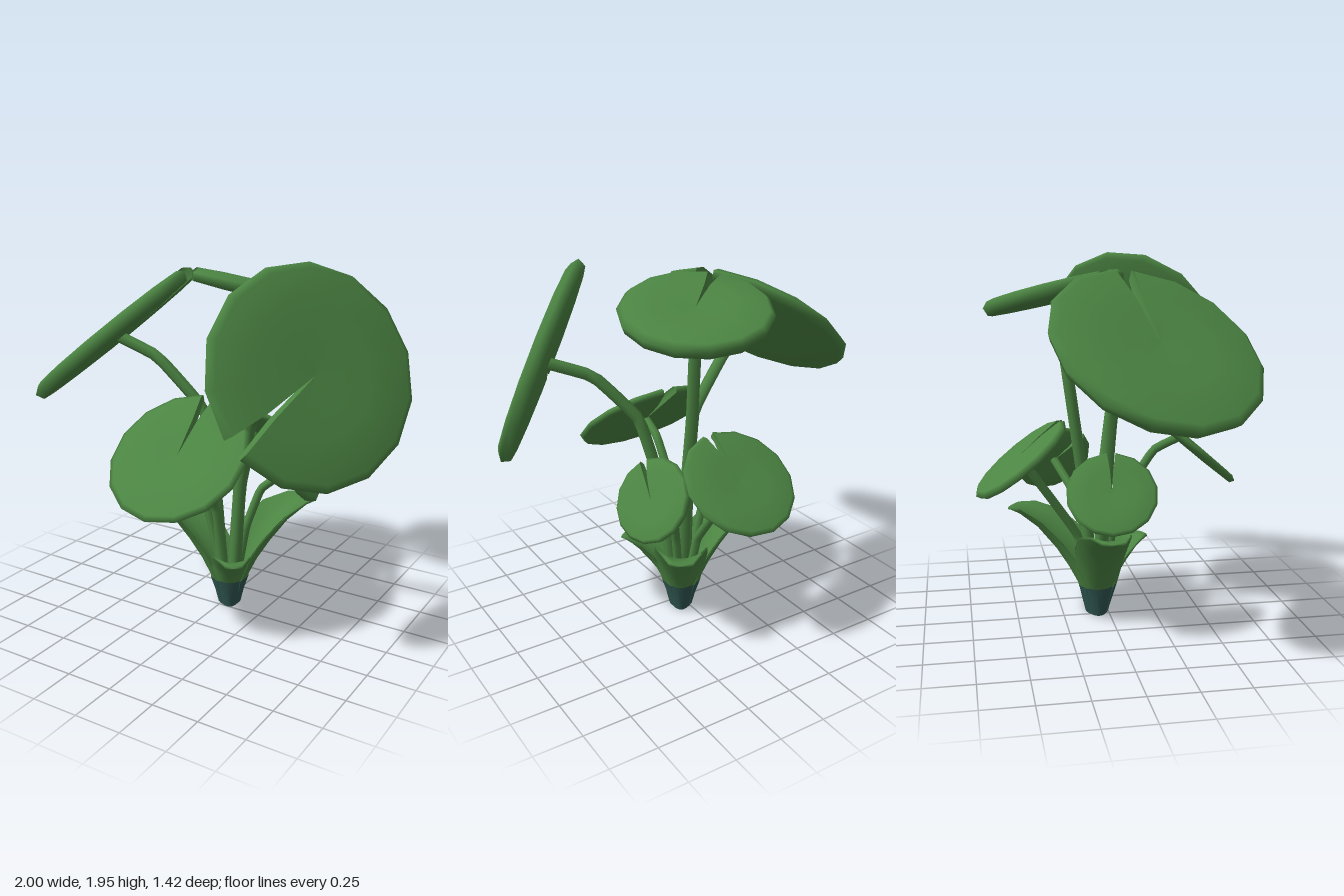
import * as THREE from 'three';

const V = (a) => new THREE.Vector3(...a);
const BASE = new THREE.Vector3(0.03, 0, -0.06);

function indexed(positions, index) {
  const g = new THREE.BufferGeometry();
  g.setAttribute('position', new THREE.Float32BufferAttribute(positions, 3));
  g.setIndex(index);
  g.computeVertexNormals();
  return g;
}

// Notched round pad: a rim profile swept about normal n; the notch faces the plant's axis, turned by twist
function padGeometry(center, n, R, h, twist) {
  const u = new THREE.Vector3(-center.x, 0, -center.z).projectOnPlane(n).normalize().applyAxisAngle(n, twist);
  const v = new THREE.Vector3().crossVectors(n, u);
  const profile = [[0, 0.75], [0.55, 1], [0.93, 0.85], [1, 0.2], [0.96, -0.8], [0.55, -1], [0, -0.85]];
  const sides = 14, K = profile.length;
  const pos = [], idx = [];
  const point = (f, [r, y]) => {
    const gap = 0.02 + 0.085 * r; // the slit flares towards the rim
    const a = gap + f * (2 * Math.PI - 2 * gap);
    const p = center.clone()
      .addScaledVector(u, Math.cos(a) * r * R)
      .addScaledVector(v, Math.sin(a) * r * R)
      .addScaledVector(n, y * h);
    pos.push(p.x, p.y, p.z);
  };
  for (let i = 0; i <= sides; i++) {
    for (const p of profile) point(i / sides, p);
  }
  for (let i = 0; i < sides; i++) {
    for (let k = 0; k < K - 1; k++) {
      const a = i * K + k, b = a + K;
      idx.push(a, a + 1, b, b, a + 1, b + 1);
    }
  }
  // notch walls
  for (const end of [0, 1]) {
    const o = pos.length / 3;
    for (const p of profile) point(end, p);
    for (let k = 1; k < K - 1; k++) {
      if (end) idx.push(o, o + k, o + k + 1);
      else idx.push(o, o + k + 1, o + k);
    }
  }
  return indexed(pos, idx);
}

// Trough-shaped leaf lofted from sections [outward, height, halfWidth, depth, thickness]
function leafGeometry(all, first, last, angle) {
  const o = new THREE.Vector3(Math.cos(angle), 0, Math.sin(angle));
  const up = new THREE.Vector3(0, 1, 0);
  const side = new THREE.Vector3().crossVectors(up, o);
  const ts = [-1, -0.6, -0.2, 0.2, 0.6, 1];
  const ring = [...ts.map((t) => [t, 0]), ...[...ts].reverse().map((t) => [t, 1])];
  const M = ring.length, pos = [], idx = [];
  for (let i = first; i <= last; i++) {
    const [s, y, w, d, th] = all[i];
    const p0 = all[Math.max(i - 1, 0)], p1 = all[Math.min(i + 1, all.length - 1)];
    const ds = p1[0] - p0[0], dy = p1[1] - p0[1], l = Math.hypot(ds, dy);
    const N = new THREE.Vector3().addScaledVector(o, -dy / l).addScaledVector(up, ds / l);
    if (i < 2) N.copy(o).negate(); // root sections stay level
    for (const [t, inner] of ring) {
      const p = BASE.clone().addScaledVector(o, s).addScaledVector(up, y)
        .addScaledVector(side, w * t)
        .addScaledVector(N, d * t * t + inner * th * (1 - 0.5 * t * t));
      pos.push(p.x, p.y, p.z);
    }
  }
  for (let i = 0; i < last - first; i++) {
    for (let j = 0; j < M; j++) {
      const a = i * M + j, b = i * M + (j + 1) % M;
      idx.push(a, b, a + M, a + M, b, b + M);
    }
  }
  return indexed(pos, idx);
}

export function createModel() {
  const group = new THREE.Group();
  const green = new THREE.MeshStandardMaterial({ color: 0x4c8543, side: THREE.DoubleSide });
  green.name = 'leaf green';
  const teal = new THREE.MeshStandardMaterial({ color: 0x2f5650, side: THREE.DoubleSide });
  teal.name = 'root teal';
  const add = (name, geometry, material) => {
    const m = new THREE.Mesh(geometry, material);
    m.name = name;
    group.add(m);
  };

  // A pad and its bent stem, which rises from the base through the given bends
  const addPad = (name, center, normal, R, bends, twist = 0) => {
    const c = V(center), n = V(normal).normalize();
    const large = bends.length > 2;
    const h = large ? 0.044 : 0.024;
    add(name + 'Pad', padGeometry(c, n, R, h, twist), green);
    const root = new THREE.Vector3(c.x * 0.05 + 0.03, 0.04, c.z * 0.05 - 0.065);
    const end = c.clone().addScaledVector(n, -h * 0.5);
    const curve = new THREE.CatmullRomCurve3([root, ...bends.map(V), end], false, 'catmullrom', 0.12);
    add(name + 'Stem', new THREE.TubeGeometry(curve, 24, large ? 0.032 : 0.024, 7), green);
  };
  addPad('rightLarge', [-0.565, 1.515, 0.135], [-0.6, 0.77, 0.22], 0.54,
    [[-0.03, 0.6, -0.03], [-0.09, 1.12, 0], [-0.34, 1.4, 0.07]], 0.08);
  addPad('leftLarge', [0.655, 1.455, 0.255], [0.76, 0.37, 0.52], 0.54,
    [[0.12, 0.7, -0.02], [0.22, 1.12, 0.05], [0.42, 1.36, 0.16]], 1.57);
  addPad('backLarge', [0.085, 1.745, -0.275], [0.12, 0.96, -0.22], 0.378,
    [[0.05, 0.7, -0.13], [0.05, 1.15, -0.19], [0.07, 1.6, -0.25]], -0.55);
  addPad('frontMedium', [-0.005, 0.985, 0.38], [0, 0.76, 0.65], 0.382, [[0, 0.6, 0.04], [0, 0.91, 0.24]]);
  addPad('backMedium', [-0.05, 0.9, -0.475], [0, 0.78, -0.62], 0.3, [[0, 0.45, -0.17], [-0.02, 0.65, -0.3]]);
  addPad('leftSmall', [0.33, 0.815, -0.265], [0.82, 0.53, -0.25], 0.222, [[0.1, 0.45, -0.12], [0.16, 0.67, -0.18]]);
  addPad('rightSmall', [-0.375, 0.775, -0.05], [-0.76, 0.64, -0.1], 0.23, [[-0.11, 0.56, -0.05], [-0.28, 0.74, -0.05]]);

  // Sheath leaves around the base, with a darker root section
  const sections = [
    [0.07, 0, 0.05, 0.05, 0.015], [0.11, 0.165, 0.105, 0.09, 0.018],
    [0.165, 0.25, 0.13, 0.11, 0.022], [0.235, 0.34, 0.142, 0.11, 0.024],
    [0.34, 0.45, 0.135, 0.08, 0.026], [0.45, 0.515, 0.1, 0.04, 0.03],
    [0.525, 0.535, 0.06, 0.012, 0.032], [0.53, 0.55, 0, 0, 0],
  ];
  const addLeaf = (name, angle, s, rise) => {
    const k = 0.4 + 0.6 * s;
    const sec = sections.map((q, i) => (i < 2 ? q
      : [0.11 + (q[0] - 0.11) * s, 0.165 + (q[1] - 0.165) * rise, q[2] * k, q[3] * k, q[4]]));
    add(name + 'Root', leafGeometry(sec, 0, 1, angle), teal);
    add(name, leafGeometry(sec, 1, sec.length - 1, angle), green);
  };
  addLeaf('rightLeaf', Math.PI, 1, 1);
  addLeaf('backLeaf', -1.0, 1, 1);
  addLeaf('frontLeaf', 0.97, 0.58, 0.53);

  const core = new THREE.CylinderGeometry(0.075, 0.05, 0.13, 9);
  core.translate(BASE.x, 0.065, BASE.z);
  add('rootCore', core, teal);

  return group;
}
